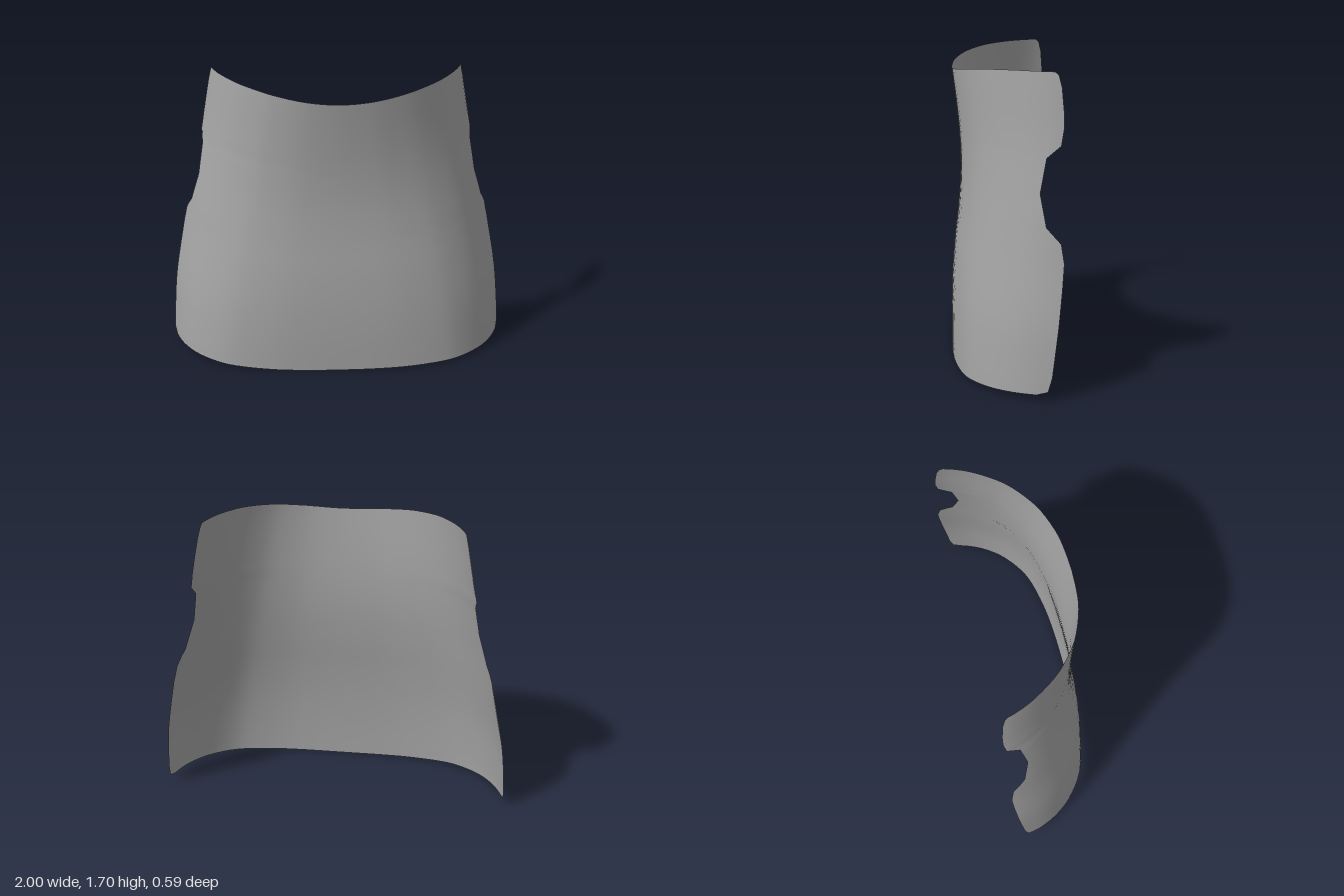
import * as THREE from 'three';

// Smooth interpolation through (xs, ys) with finite-difference tangents
function smooth(xs, ys) {
  const n = xs.length - 1;
  const slope = (i) => {
    const a = Math.max(i - 1, 0), b = Math.min(i + 1, n);
    return (ys[b] - ys[a]) / (xs[b] - xs[a]);
  };
  return (x) => {
    let i = 0;
    while (i < n - 1 && x > xs[i + 1]) i++;
    const h = xs[i + 1] - xs[i];
    const t = THREE.MathUtils.clamp((x - xs[i]) / h, 0, 1);
    const t2 = t * t, t3 = t2 * t;
    return (2 * t3 - 3 * t2 + 1) * ys[i] + (t3 - 2 * t2 + t) * h * slope(i)
      + (3 * t2 - 2 * t3) * ys[i + 1] + (t3 - t2) * h * slope(i + 1);
  };
}

// Half cross-sections from the front centre to the back edge: width and depth
const steps = [0, 1, 2, 3, 4, 5, 6, 7, 8, 9];
const bottomX = smooth(steps, [0, 0.2, 0.4, 0.6, 0.72, 0.84, 0.92, 0.97, 1.0, 1.02].map((v) => v / 1.02));
const bottomD = smooth(steps, [0, 0.002, 0.015, 0.052, 0.1, 0.19, 0.29, 0.39, 0.49, 0.585].map((v) => v / 0.585));
const topX = smooth(steps, [0, 0.11, 0.22, 0.35, 0.44, 0.54, 0.61, 0.67, 0.71, 0.725].map((v) => v / 0.725));
const topD = smooth(steps, [0, 0.006, 0.023, 0.07, 0.125, 0.21, 0.3, 0.4, 0.5, 0.57].map((v) => v / 0.57));

// Width and front bulge over the height
const width = smooth([0.03, 0.13, 0.4, 0.73, 0.91, 1.08, 1.26, 1.41, 1.62, 1.7],
  [1.02, 1.013, 0.985, 0.922, 0.888, 0.85, 0.808, 0.776, 0.74, 0.725]);
const front = smooth([0, 0.2, 0.4, 0.6, 0.8, 1.0, 1.2, 1.4, 1.63],
  [0.295, 0.295, 0.288, 0.272, 0.25, 0.236, 0.238, 0.255, 0.283]);

// Notched side edge as [height, z]
const edge = [[0.034, -0.14], [0.052, -0.2], [0.13, -0.222], [0.4, -0.255], [0.6, -0.275],
  [0.73, -0.285], [0.83, -0.27], [0.91, -0.195], [1.08, -0.165], [1.26, -0.2], [1.325, -0.275],
  [1.41, -0.29], [1.5, -0.29], [1.62, -0.28], [1.68, -0.265], [1.697, -0.245]];
const low = edge[0][0], high = edge[edge.length - 1][0];

function surfacePoint(u, t, edgeY) {
  const { lerp, smoothstep } = THREE.MathUtils;
  const zf = front(t * 1.63);
  const x = width(edgeY) * lerp(bottomX(u), topX(u), t);
  const z = zf - (zf + 0.292) * lerp(bottomD(u), topD(u), t);
  const yLow = low * Math.min(1, x * x);
  const yHigh = 1.63 + (high - 1.63) * smoothstep(x, 0, 0.71);
  return [x, lerp(yLow, yHigh, t), z];
}

function shellGeometry() {
  // Rows pass through every corner of the notched edge
  const rows = [];
  edge.forEach(([y, z], i) => {
    if (i === 0) return rows.push([y, z]);
    const [y0, z0] = edge[i - 1];
    const n = Math.max(1, Math.round((y - y0) / 0.05));
    for (let k = 1; k <= n; k++) rows.push([y0 + (y - y0) * k / n, z0 + (z - z0) * k / n]);
  });

  const half = 24, cols = half * 2 + 1;
  const positions = [], index = [];
  rows.forEach(([y, zCut], r) => {
    const t = (y - low) / (high - low);
    // Find where this row meets the side edge
    let a = 4, b = 9;
    for (let k = 0; k < 30; k++) {
      const m = (a + b) / 2;
      if (surfacePoint(m, t, y)[2] > zCut) a = m; else b = m;
    }
    for (let c = -half; c <= half; c++) {
      const p = surfacePoint(a * Math.abs(c) / half, t, y);
      positions.push(Math.sign(c) * p[0], p[1], p[2]);
    }
    if (r === 0) return;
    for (let c = 0; c < cols - 1; c++) {
      const p = (r - 1) * cols + c, q = p + cols;
      index.push(p, p + 1, q, p + 1, q + 1, q);
    }
  });
  const geometry = new THREE.BufferGeometry();
  geometry.setAttribute('position', new THREE.Float32BufferAttribute(positions, 3));
  geometry.setIndex(index);
  geometry.computeVertexNormals();
  return geometry;
}

export function createModel() {
  const group = new THREE.Group();
  group.name = 'curvedPanel';
  const grey = new THREE.MeshStandardMaterial({ color: 0xa3a3a3, side: THREE.DoubleSide });
  grey.name = 'grey';
  const shell = new THREE.Mesh(shellGeometry(), grey);
  shell.name = 'shell';
  group.add(shell);
  return group;
}
